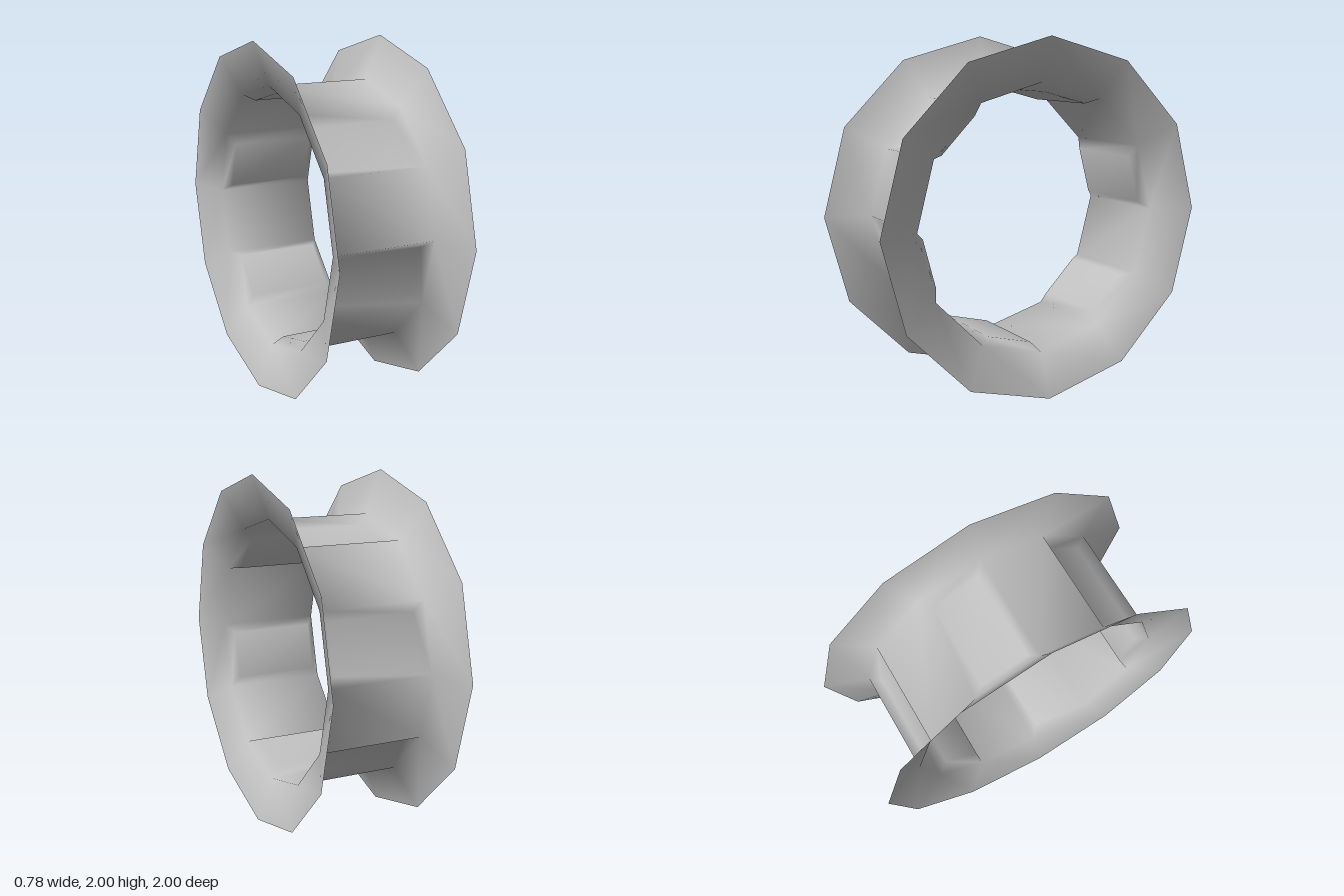
import * as THREE from 'three';

const SIDES = 12;
const PROFILE = [[-0.39, 1], [-0.3, 0.755], [0.3, 0.755], [0.39, 1]]; // x, radius
const POCKET = { x: 0.25, radius: 0.687, half: 0.14 };

// One welded, smooth-shaded shell: two flared flanges and a barrel with alternating pockets
function rimGeometry() {
  const positions = [];
  const indices = [];
  const add = (x, y, z) => positions.push(x, y + 1, z) / 3 - 1;
  const quad = (a, b, c, d) => indices.push(a, d, c, a, c, b);

  // rings of vertices, starting at the top and turning towards the front
  const rings = [];
  for (let i = 0; i < SIDES; i++) {
    const t = (i / SIDES) * Math.PI * 2;
    rings.push(PROFILE.map(([x, r]) => add(x, r * Math.cos(t), r * Math.sin(t))));
  }

  for (let i = 0; i < SIDES; i++) {
    const p = rings[i];
    const q = rings[(i + 1) % SIDES];
    // flanges
    quad(p[0], p[1], q[1], q[0]);
    quad(p[2], p[3], q[3], q[2]);
    // barrel panel
    const [a, b, c, d] = [p[1], p[2], q[2], q[1]];
    if (i % 2 === 0) {
      quad(a, b, c, d);
      continue;
    }
    // sunken pocket: floor and four sloping walls
    const t = ((i + 0.5) / SIDES) * Math.PI * 2;
    const corner = (x, s) => add(
      x,
      POCKET.radius * Math.cos(t) - s * Math.sin(t),
      POCKET.radius * Math.sin(t) + s * Math.cos(t)
    );
    const a2 = corner(-POCKET.x, -POCKET.half);
    const b2 = corner(POCKET.x, -POCKET.half);
    const c2 = corner(POCKET.x, POCKET.half);
    const d2 = corner(-POCKET.x, POCKET.half);
    quad(a2, b2, c2, d2);
    quad(a, b, b2, a2);
    quad(d2, c2, c, d);
    quad(a, a2, d2, d);
    quad(b2, b, c, c2);
  }

  const geometry = new THREE.BufferGeometry();
  geometry.setAttribute('position', new THREE.Float32BufferAttribute(positions, 3));
  geometry.setIndex(indices);
  geometry.computeVertexNormals();
  return geometry;
}

export function createModel() {
  const group = new THREE.Group();
  group.name = 'wheelRim';
  const metal = new THREE.MeshStandardMaterial({ color: 0xc0c0c0, side: THREE.DoubleSide });
  metal.name = 'grey metal';
  const rim = new THREE.Mesh(rimGeometry(), metal);
  rim.name = 'rimShell';
  group.add(rim);
  return group;
}
